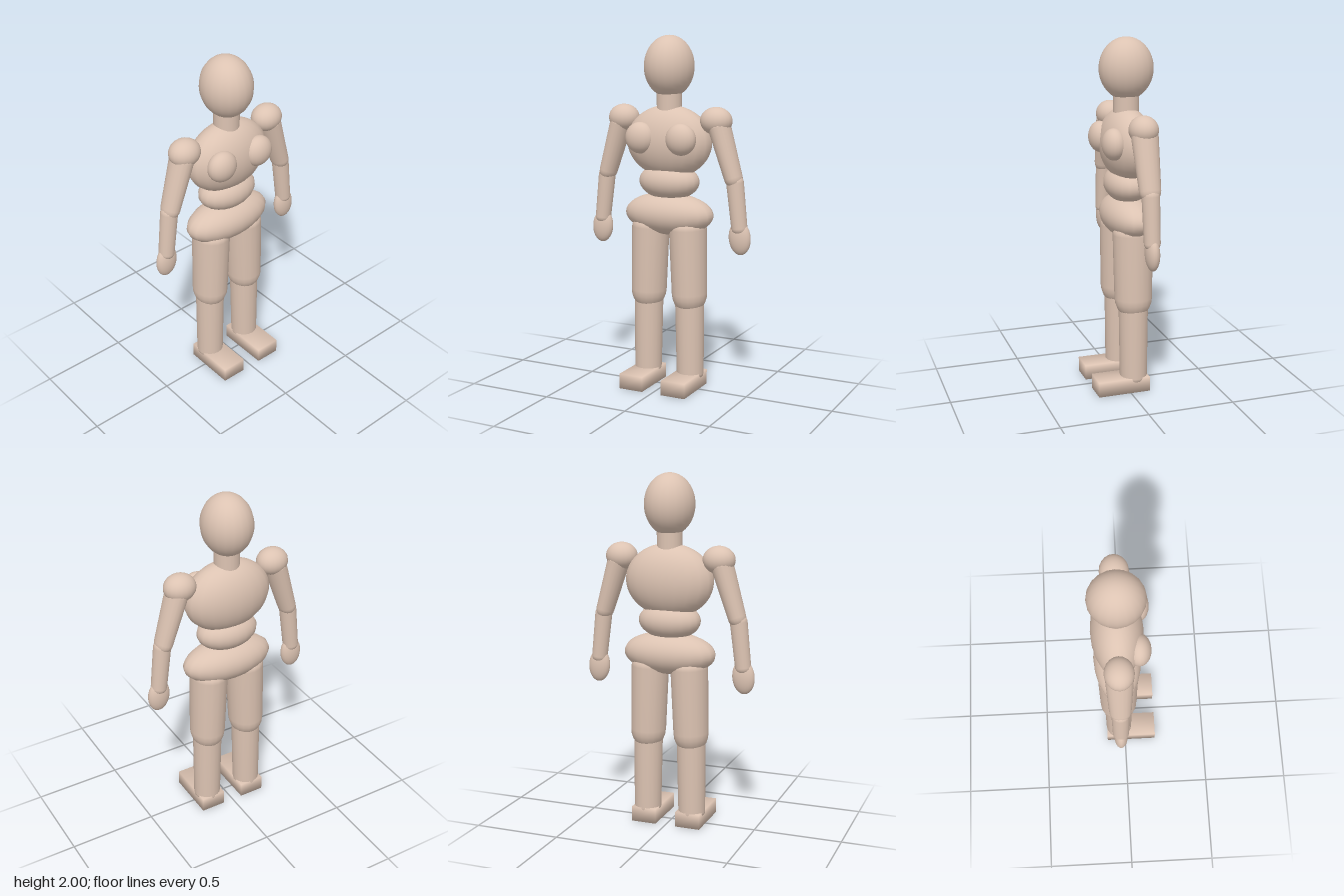
import * as THREE from 'three';
import { mergeVertices } from 'three/addons/utils/BufferGeometryUtils.js';

const skin = new THREE.MeshStandardMaterial({ color: 0xdcc3b2 });
const Z = -0.037; // depth of the body's centre line

function add(group, name, geometry) {
  const mesh = new THREE.Mesh(geometry, skin);
  mesh.name = name;
  group.add(mesh);
  return mesh;
}

// Ellipsoid from centre and radii
function ellipsoid(group, name, [x, y, z], [rx, ry, rz], tilt = 0) {
  const mesh = add(group, name, new THREE.SphereGeometry(1, 20, 24));
  mesh.scale.set(rx, ry, rz);
  mesh.position.set(x, y, z);
  mesh.rotation.z = tilt;
  return mesh;
}

// Tapered limb with domed ends, between two points in the x-y plane
function limb(group, name, top, bottom, rTop, rBottom, domeTop, domeBottom, depth = 1) {
  const dx = top[0] - bottom[0], dy = top[1] - bottom[1];
  const half = Math.hypot(dx, dy) / 2;
  const steps = 6, profile = [];
  for (let i = 0; i <= steps; i++) {
    const a = (i / steps) * Math.PI / 2;
    profile.push(new THREE.Vector2(rBottom * Math.sin(a), -half + domeBottom * (1 - Math.cos(a))));
  }
  for (let i = steps; i >= 0; i--) {
    const a = (i / steps) * Math.PI / 2;
    profile.push(new THREE.Vector2(rTop * Math.sin(a), half - domeTop * (1 - Math.cos(a))));
  }
  const mesh = add(group, name, new THREE.LatheGeometry(profile, 18));
  mesh.scale.z = depth;
  mesh.rotation.z = Math.atan2(-dx, dy);
  mesh.position.set((top[0] + bottom[0]) / 2, (top[1] + bottom[1]) / 2, Z);
  return mesh;
}

// Block whose corners share softened normals
function softBox(w, h, d) {
  const box = new THREE.BoxGeometry(w, h, d);
  box.deleteAttribute('normal');
  box.deleteAttribute('uv');
  const geometry = mergeVertices(box);
  geometry.computeVertexNormals();
  return geometry;
}

export function createModel() {
  const model = new THREE.Group();
  model.name = 'figure';

  // Head and trunk
  ellipsoid(model, 'head', [0, 1.828, Z], [0.14, 0.172, 0.152]);
  add(model, 'neck', new THREE.CylinderGeometry(0.071, 0.071, 0.16, 20)).position.set(0, 1.63, Z);
  ellipsoid(model, 'chest', [0, 1.41, Z], [0.257, 0.205, 0.142]);
  ellipsoid(model, 'abdomen', [0, 1.185, Z], [0.18, 0.105, 0.122]);
  ellipsoid(model, 'pelvis', [0, 1.0, Z], [0.27, 0.12, 0.135]);

  for (const s of [1, -1]) {
    const side = s > 0 ? 'left' : 'right';
    ellipsoid(model, side + 'Breast', [s * 0.125, 1.435, 0.075], [0.088, 0.088, 0.065]);

    // Arm
    const arm = new THREE.Group();
    arm.name = side + 'Arm';
    ellipsoid(arm, 'shoulder', [s * 0.287, 1.535, Z], [0.091, 0.077, 0.08]);
    limb(arm, 'upperArm', [s * 0.295, 1.54], [s * 0.41, 1.17], 0.062, 0.05, 0.04, 0.06, 1.2);
    limb(arm, 'forearm', [s * 0.397, 1.25], [s * 0.436, 0.91], 0.049, 0.045, 0.05, 0.04);
    ellipsoid(arm, 'hand', [s * 0.434, 0.895, Z], [0.064, 0.096, 0.038], s * 0.08);
    model.add(arm);

    // Leg
    const leg = new THREE.Group();
    leg.name = side + 'Leg';
    limb(leg, 'thigh', [s * 0.115, 1.0], [s * 0.133, 0.43], 0.106, 0.1, 0.08, 0.12, 1.07);
    limb(leg, 'shin', [s * 0.13, 0.54], [s * 0.136, 0.03], 0.083, 0.078, 0.06, 0.05);
    add(leg, 'foot', softBox(0.146, 0.086, 0.303)).position.set(s * 0.133, 0.043, 0.0385);
    model.add(leg);
  }
  return model;
}
